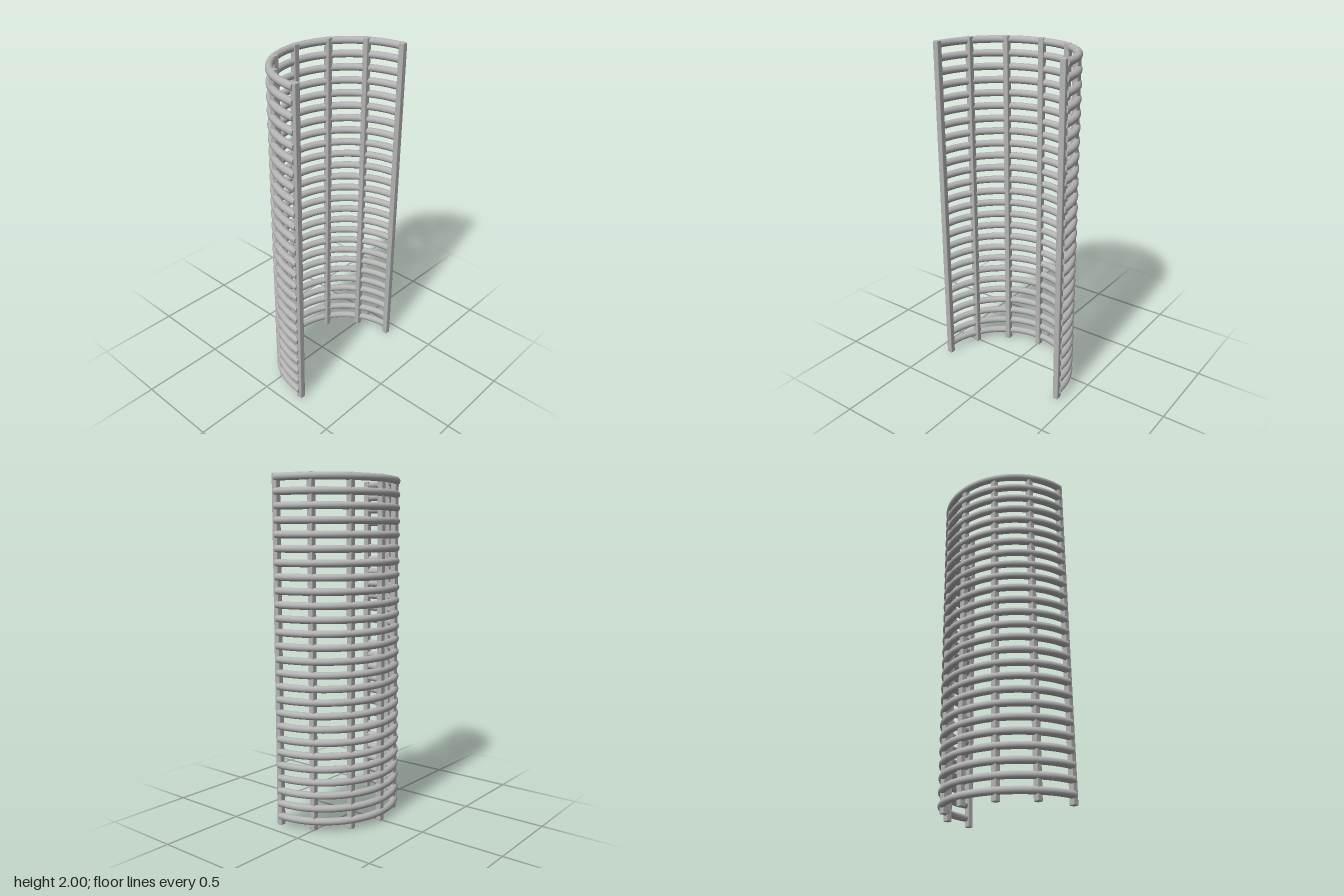
import * as THREE from 'three';
import { RoundedBoxGeometry } from 'three/addons/geometries/RoundedBoxGeometry.js';

const CENTER_Z = 0.208;
const RING_RADIUS = 0.4175;
const TUBE_RADIUS = 0.021;
const RING_COUNT = 26;
const POST_RADIUS = 0.41;
const POST_WIDTH = 0.034;

export function createModel() {
  const model = new THREE.Group();
  model.name = 'curvedRack';
  const grey = new THREE.MeshStandardMaterial({ color: 0xb4b4b4 });
  grey.name = 'grey';

  // Stacked half rings, each closed with a disc at both ends
  const arcGeometry = new THREE.TorusGeometry(RING_RADIUS, TUBE_RADIUS, 16, 48, Math.PI);
  arcGeometry.rotateX(-Math.PI / 2);
  const capGeometry = new THREE.CircleGeometry(TUBE_RADIUS, 16);
  for (let i = 0; i < RING_COUNT; i++) {
    const ring = new THREE.Group();
    ring.name = `halfRing${i + 1}`;
    ring.position.set(0, THREE.MathUtils.lerp(0.054, 1.978, i / (RING_COUNT - 1)), CENTER_Z);
    const arc = new THREE.Mesh(arcGeometry, grey);
    arc.name = 'ringTube';
    ring.add(arc);
    for (const side of [-1, 1]) {
      const cap = new THREE.Mesh(capGeometry, grey);
      cap.name = side > 0 ? 'leftEndCap' : 'rightEndCap';
      cap.position.x = side * RING_RADIUS;
      ring.add(cap);
    }
    model.add(ring);
  }

  // Square upright posts with softened edges, every 30 degrees along the inside
  const postGeometry = new RoundedBoxGeometry(POST_WIDTH, 2, POST_WIDTH, 2, 0.004);
  for (let i = 0; i <= 6; i++) {
    const angle = (i * Math.PI) / 6;
    const post = new THREE.Mesh(postGeometry, grey);
    post.name = `uprightPost${i + 1}`;
    post.position.set(
      POST_RADIUS * Math.cos(angle),
      1,
      0.21 - POST_RADIUS * Math.sin(angle)
    );
    model.add(post);
  }
  return model;
}
